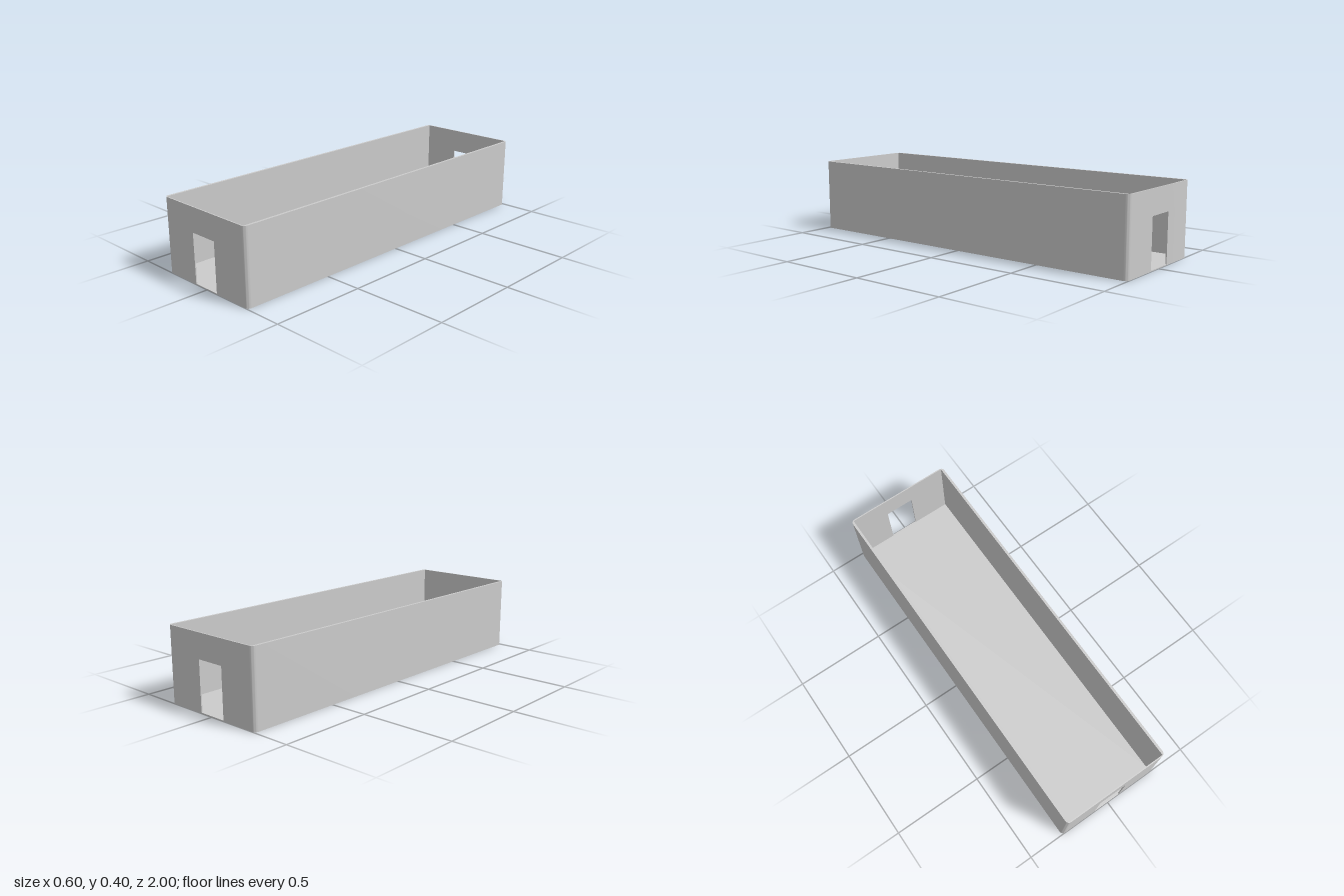
import * as THREE from 'three';
import { toCreasedNormals } from 'three/addons/utils/BufferGeometryUtils.js';

const HALF_W = 0.3, HALF_L = 1, HEIGHT = 0.395, RADIUS = 0.022;
const SIDE_T = 0.013, END_T = 0.006, FLOOR_T = 0.005;
const DOOR_MIN = -0.085, DOOR_MAX = 0.075, DOOR_TOP = 0.265;

const material = new THREE.MeshStandardMaterial({ color: 0xcccccc });

// Outer outline of one long side with its two rounded corners, s = +1 or -1
function roundedSide(s) {
  const points = [];
  for (const end of [1, -1]) {
    for (let i = 0; i <= 8; i++) {
      const a = (end > 0 ? 8 - i : i) / 8 * Math.PI / 2;
      points.push(new THREE.Vector2(
        s * (HALF_W - RADIUS + RADIUS * Math.cos(a)),
        end * (HALF_L - RADIUS + RADIUS * Math.sin(a))));
    }
  }
  return points;
}

// Extrudes a plan outline upward between two heights
function extrudePlan(name, points, y0, y1) {
  const extruded = new THREE.ExtrudeGeometry(new THREE.Shape(points), { depth: y1 - y0, bevelEnabled: false });
  extruded.rotateX(-Math.PI / 2).translate(0, y0, 0);
  const mesh = new THREE.Mesh(toCreasedNormals(extruded, Math.PI / 6), material);
  mesh.name = name;
  return mesh;
}

export function createModel() {
  const group = new THREE.Group();
  group.name = 'openHall';

  // Floor slab with rounded corners
  group.add(extrudePlan('floor', [...roundedSide(1), ...roundedSide(-1).reverse()], 0, FLOOR_T));

  // Left and right wall halves, each wrapping round to the doorways
  for (const s of [1, -1]) {
    const door = s > 0 ? DOOR_MAX : DOOR_MIN;
    const innerX = s * (HALF_W - SIDE_T), innerZ = HALF_L - END_T;
    const outline = [
      new THREE.Vector2(door, HALF_L),
      ...roundedSide(s),
      new THREE.Vector2(door, -HALF_L),
      new THREE.Vector2(door, -innerZ),
      new THREE.Vector2(innerX, -innerZ),
      new THREE.Vector2(innerX, innerZ),
      new THREE.Vector2(door, innerZ),
    ];
    group.add(extrudePlan(s > 0 ? 'leftWall' : 'rightWall', outline, FLOOR_T, HEIGHT));
  }

  // Wall panels above the front and back doorways
  for (const end of [1, -1]) {
    const lintel = new THREE.Mesh(
      new THREE.BoxGeometry(DOOR_MAX - DOOR_MIN, HEIGHT - DOOR_TOP, END_T), material);
    lintel.position.set((DOOR_MIN + DOOR_MAX) / 2, (HEIGHT + DOOR_TOP) / 2, end * (HALF_L - END_T / 2));
    lintel.name = end > 0 ? 'frontLintel' : 'backLintel';
    group.add(lintel);
  }
  return group;
}
